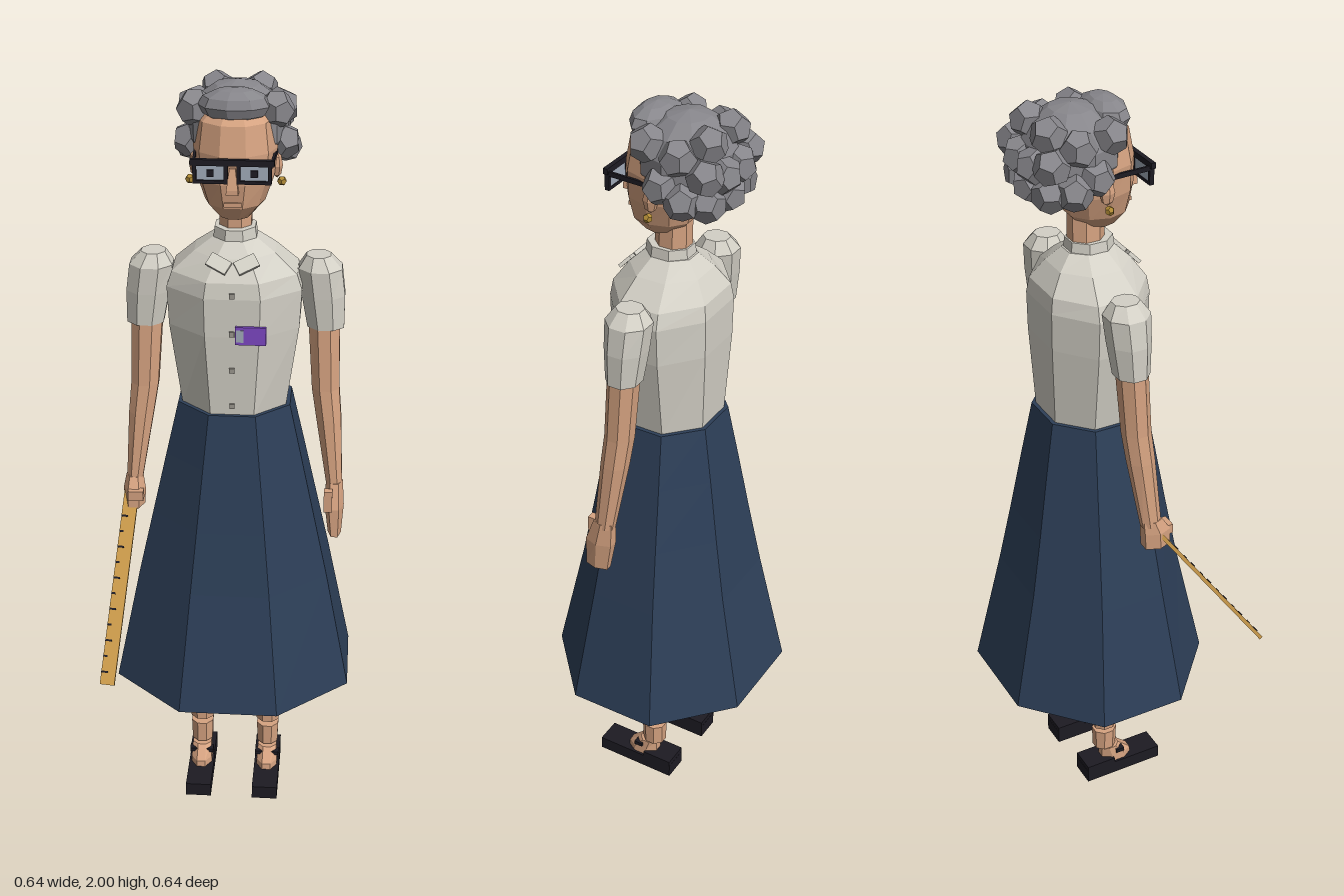
import * as THREE from 'three';

const mat = (name, color) => {
  const m = new THREE.MeshStandardMaterial({ color });
  m.name = name;
  return m;
};

// Stacked elliptical rings [y, rx, rz, x, z], bottom to top, with capped ends; radii reach the flats
function loft(rings, n = 8) {
  const k = 1 / Math.cos(Math.PI / n), pos = [];
  const pt = (r, i) => {
    const [y, rx, rz, x = 0, z = 0] = rings[r], a = ((i + 0.5) * 2 * Math.PI) / n;
    return [x + Math.sin(a) * rx * k, y, z + Math.cos(a) * rz * k];
  };
  const mid = (r) => [rings[r][3] || 0, rings[r][0], rings[r][4] || 0];
  const last = rings.length - 1;
  for (let i = 0; i < n; i++) {
    for (let r = 0; r < last; r++) {
      const a = pt(r, i), b = pt(r, i + 1), c = pt(r + 1, i + 1), d = pt(r + 1, i);
      pos.push(...a, ...b, ...c, ...a, ...c, ...d);
    }
    pos.push(...mid(last), ...pt(last, i), ...pt(last, i + 1));
    pos.push(...mid(0), ...pt(0, i + 1), ...pt(0, i));
  }
  const g = new THREE.BufferGeometry();
  g.setAttribute('position', new THREE.Float32BufferAttribute(pos, 3));
  g.computeVertexNormals();
  return g;
}

// Faceted ellipsoid
function blob(rx, ry, rz, w = 9, h = 6) {
  const g = new THREE.SphereGeometry(1, w, h).toNonIndexed();
  g.scale(rx, ry, rz);
  g.computeVertexNormals();
  return g;
}

export function createModel() {
  const skin = mat('skin', 0xd6a381), cloth = mat('blouse cloth', 0xd3d0c6);
  const navy = mat('skirt navy', 0x2d3f58), grey = mat('hair grey', 0x87868b);
  const black = mat('black', 0x1d1b23), purple = mat('badge purple', 0x7d48c4);
  const wood = mat('ruler wood', 0xc9994a), glass = mat('lens', 0xa3adbb);
  const gold = mat('gold', 0xb08a35), button = mat('button', 0x9c988f);

  const model = new THREE.Group();
  model.name = 'lady';
  const body = new THREE.Group();
  body.name = 'body';
  body.position.x = 0.006;
  model.add(body);

  const add = (name, geo, m, p = [0, 0, 0], parent = body) => {
    const mesh = new THREE.Mesh(geo, m);
    mesh.name = name;
    mesh.position.set(...p);
    parent.add(mesh);
    return mesh;
  };
  const box = (name, size, m, p, parent) => add(name, new THREE.BoxGeometry(...size), m, p, parent);

  // Skirt and blouse
  add('skirt', loft([
    [0.375, 0.314, 0.283, 0, -0.043], [0.7, 0.249, 0.215, 0, -0.043], [0.87, 0.212, 0.185, 0, -0.042],
    [1.04, 0.175, 0.157, 0, -0.041], [1.185, 0.143, 0.132, 0, -0.04]]), navy);
  add('blouse', loft([
    [1.18, 0.132, 0.122, 0, -0.04], [1.4, 0.163, 0.133, 0, -0.04], [1.5, 0.168, 0.134, 0, -0.04],
    [1.54, 0.155, 0.128, 0, -0.04], [1.59, 0.1, 0.095, 0, -0.04], [1.625, 0.052, 0.06, 0, -0.04]]), cloth);
  add('collarBand', loft([[1.61, 0.055, 0.06, 0, -0.037], [1.65, 0.05, 0.055, 0, -0.037]]), cloth);
  for (const s of [1, -1]) {
    const flap = box('collarFlap', [0.055, 0.035, 0.009], cloth, [s * 0.034, 1.583, 0.067]);
    flap.rotation.set(-0.75, 0, s * 0.5);
  }
  for (const y of [1.51, 1.41, 1.31, 1.21])
    box('button', [0.013, 0.013, 0.009], button, [0, y, 0.083 + Math.min(0.011, (y - 1.18) * 0.05)]);
  box('badge', [0.076, 0.047, 0.009], purple, [0.047, 1.408, 0.097]);
  box('badgeLabel', [0.018, 0.032, 0.004], glass, [0.02, 1.408, 0.101]);

  // Neck, head and face
  add('neck', loft([[1.62, 0.04, 0.043, 0, -0.045], [1.73, 0.038, 0.043, 0, -0.045]]), skin);
  add('head', loft([
    [1.683, 0.038, 0.045, 0, -0.015], [1.72, 0.07, 0.077, 0, -0.018], [1.78, 0.09, 0.09, 0, -0.022],
    [1.85, 0.097, 0.093, 0, -0.025], [1.92, 0.088, 0.085, 0, -0.03], [1.965, 0.045, 0.045, 0, -0.03]], 10), skin);
  add('nose', loft([[1.763, 0.015, 0.016, 0, 0.072], [1.775, 0.014, 0.016, 0, 0.072], [1.825, 0.007, 0.008, 0, 0.068]], 4), skin);
  box('mouth', [0.042, 0.01, 0.012], skin, [0, 1.732, 0.062]);

  // Glasses, ears and earrings
  for (const s of [1, -1]) {
    const x = s * 0.052;
    box('lens', [0.066, 0.042, 0.005], glass, [x, 1.818, 0.08]);
    box('pupil', [0.017, 0.017, 0.004], black, [x, 1.816, 0.084]);
    box('frameLower', [0.082, 0.008, 0.012], black, [x, 1.795, 0.082]);
    for (const e of [1, -1]) box('frameSide', [0.009, 0.052, 0.012], black, [x + e * 0.037, 1.818, 0.082]);
    const temple = box('temple', [0.006, 0.012, 0.13], black, [s * 0.095, 1.835, 0.02]);
    temple.rotation.y = -s * 0.06;
    add('ear', blob(0.014, 0.032, 0.02, 6, 4), skin, [s * 0.1, 1.8, -0.04]);
    add('earring', new THREE.DodecahedronGeometry(0.012), gold, [s * 0.112, 1.76, -0.04]);
  }
  box('frameBrow', [0.2, 0.015, 0.012], black, [0, 1.842, 0.082]);

  // Hair: crown, front roll and curls
  add('hairCrown', blob(0.127, 0.11, 0.12, 10, 7), grey, [0, 1.887, -0.083]);
  add('hairRoll', blob(0.088, 0.042, 0.055, 9, 6), grey, [0, 1.958, 0.002]);
  const curls = [
    [0.098, 1.94, -0.03], [0.105, 1.925, -0.115], [0.112, 1.85, -0.075], [0.112, 1.825, -0.13],
    [0.052, 1.95, -0.165], [0.095, 1.89, -0.18], [0.075, 1.815, -0.175], [0.035, 1.875, -0.195]];
  curls.forEach(([x, y, z], i) => {
    for (const s of [1, -1]) {
      const c = add('curl', new THREE.DodecahedronGeometry(0.046), grey, [s * x, y, z]);
      c.rotation.set(i * 0.7, s * i * 1.1, 0);
    }
  });
  add('backCurl', new THREE.DodecahedronGeometry(0.044), grey, [0, 1.815, -0.19]);

  // Arms, sleeves and legs
  for (const s of [1, -1]) {
    const side = s > 0 ? 'left' : 'right';
    add(side + 'Arm', loft([
      [0.95, 0.02, 0.026, s * 0.262, -0.001], [1.14, 0.032, 0.034, s * 0.242, -0.022],
      [1.22, 0.035, 0.035, s * 0.232, -0.03], [1.44, 0.04, 0.038, s * 0.222, -0.042]]), skin);
    add(side + 'Sleeve', loft([
      [1.385, 0.046, 0.042, s * 0.228, -0.043], [1.47, 0.054, 0.05, s * 0.22, -0.046],
      [1.54, 0.054, 0.054, s * 0.211, -0.048], [1.572, 0.03, 0.033, s * 0.206, -0.048]]), cloth);

    const leg = new THREE.Group();
    leg.name = side + 'Leg';
    leg.position.x = s * 0.093;
    body.add(leg);
    add('shin', loft([[0.17, 0.031, 0.032, 0, -0.045], [0.4, 0.05, 0.047, 0, -0.047]]), skin, [0, 0, 0], leg);
    add('ankle', loft([[0.093, 0.028, 0.03, 0, -0.044], [0.155, 0.03, 0.032, 0, -0.044]]), skin, [0, 0, 0], leg);
    add('foot', loft([[0.035, 0.029, 0.046, 0, -0.012], [0.055, 0.028, 0.044, 0, -0.012], [0.088, 0.026, 0.025, 0, -0.03]]), skin, [0, 0, 0], leg);
    box('shoeSole', [0.07, 0.038, 0.228], black, [0, 0.019, 0.001], leg);
    box('shoeHeel', [0.07, 0.03, 0.085], black, [0, 0.038, -0.07], leg);
    box('shoeStrap', [0.066, 0.011, 0.024], black, [0, 0.073, -0.008], leg);
  }

  // Left hand hangs open, right hand grips the ruler
  add('leftHand', loft([
    [0.82, 0.015, 0.031, 0.266, 0.019], [0.9, 0.022, 0.037, 0.263, 0.012], [0.965, 0.019, 0.026, 0.262, 0]], 6), skin);
  box('leftThumb', [0.022, 0.06, 0.02], skin, [0.247, 0.925, 0.043]);
  add('rightHand', loft([
    [0.885, 0.024, 0.035, -0.262, 0.014], [0.93, 0.025, 0.036, -0.262, 0.012], [0.965, 0.019, 0.026, -0.262, 0]], 6), skin);
  box('rightThumb', [0.04, 0.026, 0.024], skin, [-0.255, 0.925, 0.045]);

  // Ruler slanting down and forward, with marks along the outer edge
  const start = new THREE.Vector3(-0.262, 0.93, 0.012), end = new THREE.Vector3(-0.302, 0.505, 0.314);
  const along = end.clone().sub(start), length = along.length();
  along.normalize();
  const across = new THREE.Vector3(1, 0, 0).addScaledVector(along, -along.x).normalize();
  const ruler = new THREE.Group();
  ruler.name = 'ruler';
  ruler.quaternion.setFromRotationMatrix(
    new THREE.Matrix4().makeBasis(across, along, across.clone().cross(along)));
  ruler.position.copy(start);
  model.add(ruler);
  box('rulerBlade', [0.038, length, 0.01], wood, [0, length / 2, 0], ruler);
  for (let i = 0; i < 11; i++) {
    const w = i % 2 ? 0.011 : 0.017;
    box('rulerMark', [w, 0.005, 0.003], black, [-0.019 + w / 2, 0.08 + i * 0.041, -0.006], ruler);
  }
  return model;
}
